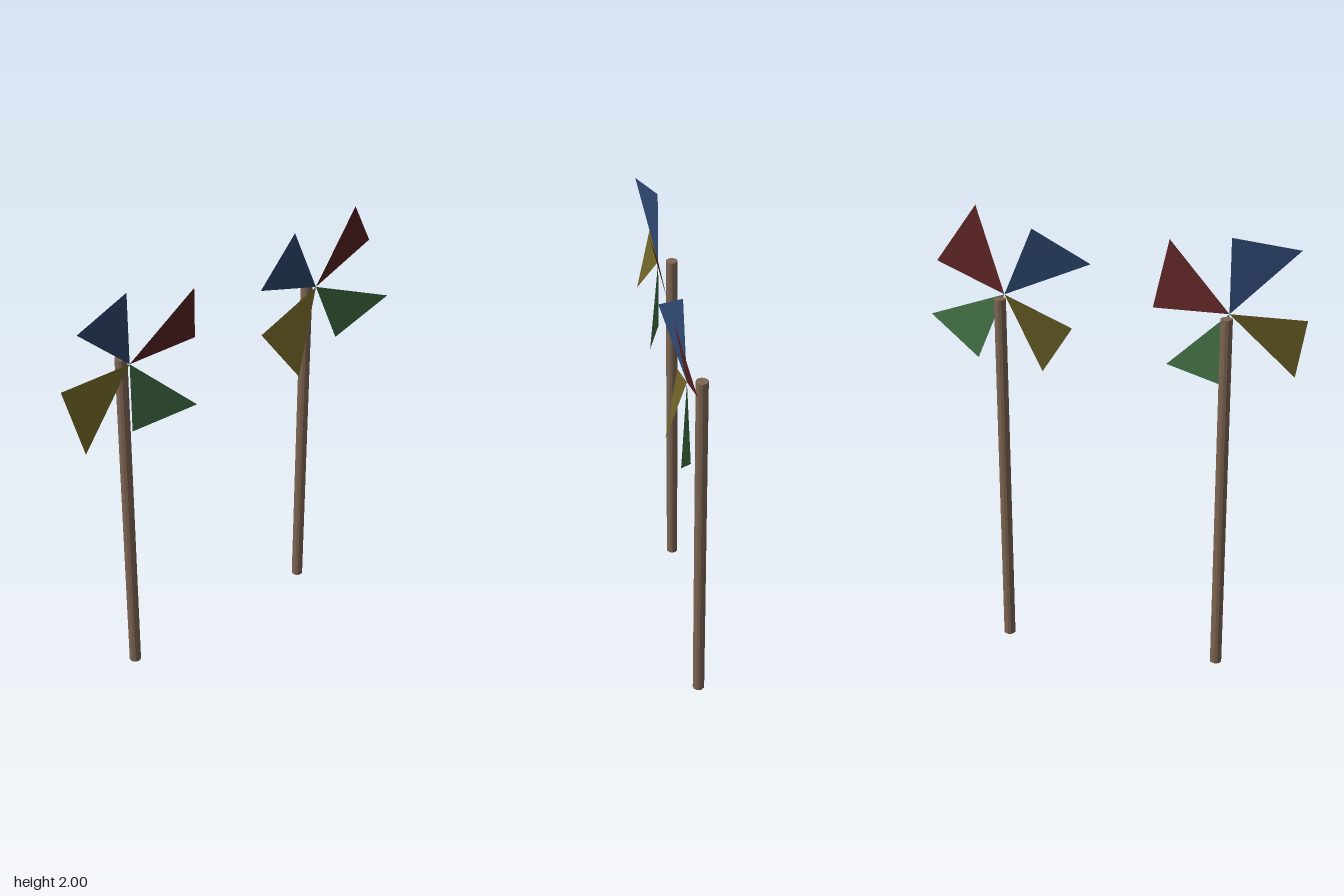
import * as THREE from 'three';

const paint = (name, color, side = THREE.FrontSide) => {
  const m = new THREE.MeshStandardMaterial({ color, side });
  m.name = name;
  return m;
};

const HUB_Y = 1.635, POLE_R = 0.026, POLE_Z = -0.052, BLADE_Z = 0.008;

// One flat triangular sail: hub corner, inner edge end, and a tip bent forward
function bladeGeometry() {
  const g = new THREE.BufferGeometry();
  g.setAttribute('position', new THREE.Float32BufferAttribute([
    0, 0, 0,
    0.326, 0, 0,
    0.274, 0.28, 0.069,
  ], 3));
  g.computeVertexNormals();
  return g;
}

export function createModel() {
  const model = new THREE.Group();
  model.name = 'pinwheels';

  const wood = paint('brown wood', 0x7d6552);
  const sails = [
    ['redBlade', paint('dark red', 0x5c2424, THREE.DoubleSide)],
    ['blueBlade', paint('navy blue', 0x2e4770, THREE.DoubleSide)],
    ['yellowBlade', paint('olive yellow', 0x6f6327, THREE.DoubleSide)],
    ['greenBlade', paint('green', 0x437045, THREE.DoubleSide)],
  ];
  const blade = bladeGeometry();
  const poleGeo = new THREE.CylinderGeometry(POLE_R, POLE_R, HUB_Y, 12).toNonIndexed();
  poleGeo.computeVertexNormals(); // faceted sides

  const addPinwheel = (name, x, turn) => {
    const pinwheel = new THREE.Group();
    pinwheel.name = name;
    pinwheel.position.x = x;

    // Pole standing behind the wheel
    const pole = new THREE.Mesh(poleGeo, wood);
    pole.name = 'pole';
    pole.position.set(0, HUB_Y / 2, POLE_Z);
    pinwheel.add(pole);

    // Four sails a quarter turn apart
    const wheel = new THREE.Group();
    wheel.name = 'wheel';
    wheel.position.set(0, HUB_Y, BLADE_Z);
    wheel.rotation.z = turn;
    sails.forEach(([label, material], i) => {
      const sail = new THREE.Mesh(blade, material);
      sail.name = label;
      sail.rotation.z = i * Math.PI / 2;
      wheel.add(sail);
    });
    pinwheel.add(wheel);
    model.add(pinwheel);
  };

  addPinwheel('rightPinwheel', -0.512, 0);
  addPinwheel('leftPinwheel', 0.467, THREE.MathUtils.degToRad(23));
  return model;
}
